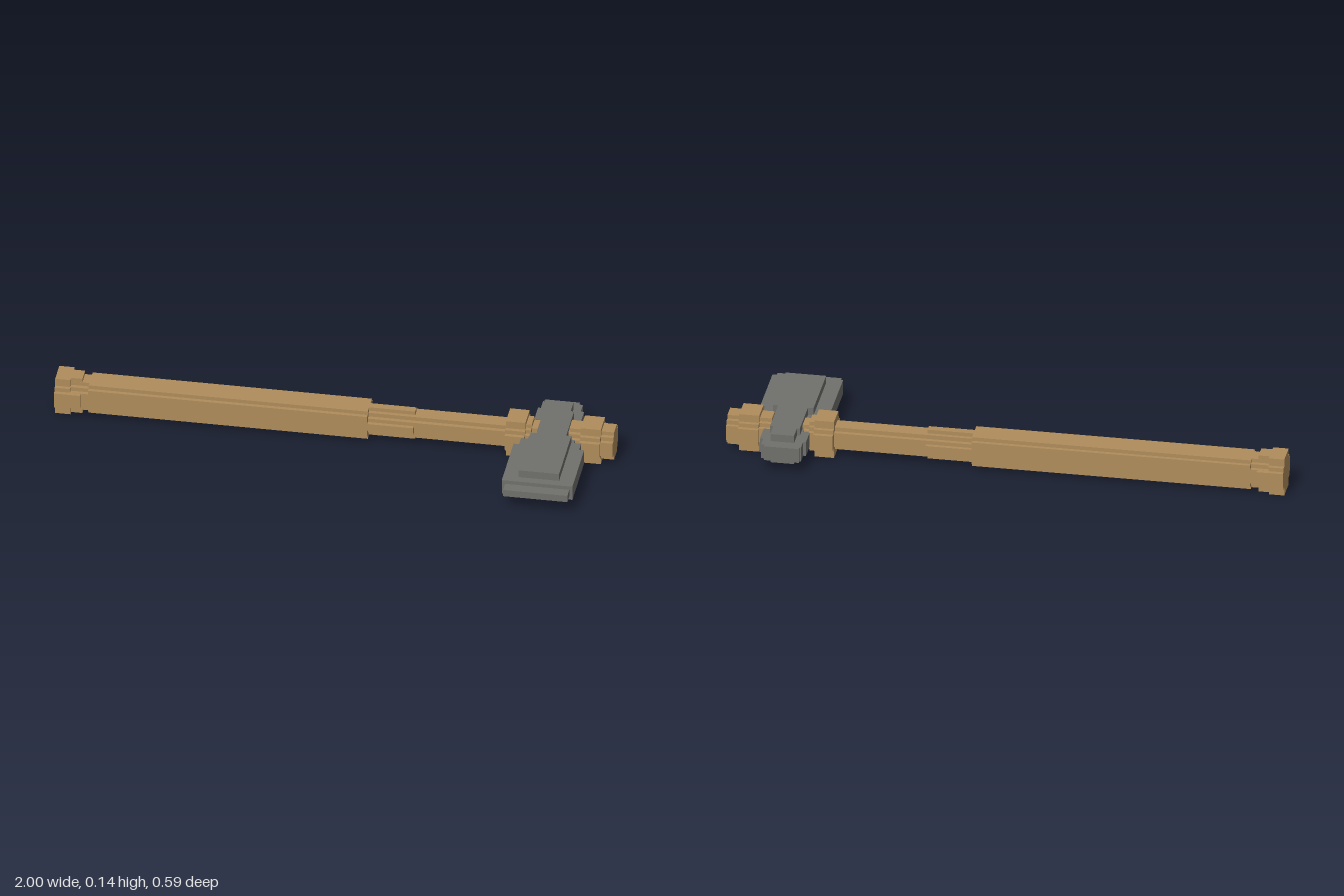
import * as THREE from 'three';

const AXIS_Y = 0.0715, AXIS_Z = -0.106;

// Closed shape from right-half steps [halfWidth, halfHeight], widest first
function steppedShape(steps) {
  const q = [];
  steps.forEach(([w, h], i) => {
    q.push([w, i ? steps[i - 1][1] : 0], [w, h]);
  });
  q.shift();
  const mirrored = (sx, sy, list) => list.map(([x, y]) => new THREE.Vector2(sx * x, sy * y));
  const back = [...q].reverse();
  return new THREE.Shape([
    ...mirrored(1, 1, q), ...mirrored(-1, 1, back),
    ...mirrored(-1, -1, q), ...mirrored(1, -1, back),
  ]);
}

// Stair-stepped bar running along x on the handle axis
function bar(name, steps, x0, x1, material) {
  const geo = new THREE.ExtrudeGeometry(steppedShape(steps), { depth: x1 - x0, bevelEnabled: false });
  geo.rotateY(Math.PI / 2);
  const mesh = new THREE.Mesh(geo, material);
  mesh.name = name;
  mesh.position.set(x0, AXIS_Y, AXIS_Z);
  return mesh;
}

// Flat slab from rows [zStart, zEnd, xMin, xMax] stacked back to front
function slab(name, rows, y0, y1, material) {
  const left = [], right = [];
  for (const [z0, z1, a, b] of rows) {
    left.push(new THREE.Vector2(a, -z0), new THREE.Vector2(a, -z1));
    right.push(new THREE.Vector2(b, -z0), new THREE.Vector2(b, -z1));
  }
  const shape = new THREE.Shape([...left, ...right.reverse()]);
  const geo = new THREE.ExtrudeGeometry(shape, { depth: y1 - y0, bevelEnabled: false });
  geo.rotateX(-Math.PI / 2);
  const mesh = new THREE.Mesh(geo, material);
  mesh.name = name;
  mesh.position.y = y0;
  return mesh;
}

export function createModel() {
  const wood = new THREE.MeshStandardMaterial({ name: 'wood', color: 0xb08d5c });
  const steel = new THREE.MeshStandardMaterial({ name: 'steel', color: 0x70706c });

  const core = [[0.043, 0.028], [0.028, 0.043]];
  const thick = [[0.057, 0.043], [0.043, 0.057]];
  const cap = [[0.057, 0.028], [0.043, 0.043], [0.028, 0.057]];
  const collar = [[0.0715, 0.028], [0.057, 0.043], [0.043, 0.0715]];

  const model = new THREE.Group();
  model.name = 'axe';

  // Handle
  const handle = new THREE.Group();
  handle.name = 'handle';
  handle.add(
    bar('shaft', core, -0.95, 0.95, wood),
    bar('grip', thick, -0.88, 0.12, wood),
    bar('gripTips', [[0.057, 0.014], [0.014, 0.057]], 0.1, 0.285, wood),
    bar('pommel', collar, -1, -0.945, wood),
    bar('pommelTips', [[0.0715, 0.0275], [0.0275, 0.0715]], -0.96, -0.905, wood),
    bar('pommelNeck', cap, -0.96, -0.875, wood),
    bar('lowerCollar', collar, 0.615, 0.685, wood),
    bar('lowerCollarNeck', cap, 0.65, 0.705, wood),
    bar('upperCollar', collar, 0.883, 0.955, wood),
    bar('endCap', cap, 0.84, 1, wood),
  );

  // Axe head: thick cheek, thinner blade body, thin cutting edge
  const head = new THREE.Group();
  head.name = 'head';
  head.add(
    slab('cheek', [
      [-0.25, -0.19, 0.74, 0.825],
      [-0.19, -0.03, 0.73, 0.837],
      [-0.03, 0.222, 0.71, 0.855],
    ], 0.016, 0.128, steel),
    slab('bladeBody', [
      [-0.293, -0.28, 0.715, 0.84],
      [-0.28, -0.236, 0.71, 0.853],
      [-0.236, -0.16, 0.7, 0.865],
      [-0.16, -0.05, 0.725, 0.84],
      [-0.05, -0.03, 0.7, 0.865],
      [-0.03, 0.01, 0.675, 0.89],
      [0.01, 0.252, 0.655, 0.908],
    ], 0.045, 0.1, steel),
    slab('cuttingEdge', [[0.24, 0.293, 0.667, 0.897]], 0.06, 0.086, steel),
  );

  model.add(handle, head);
  return model;
}
